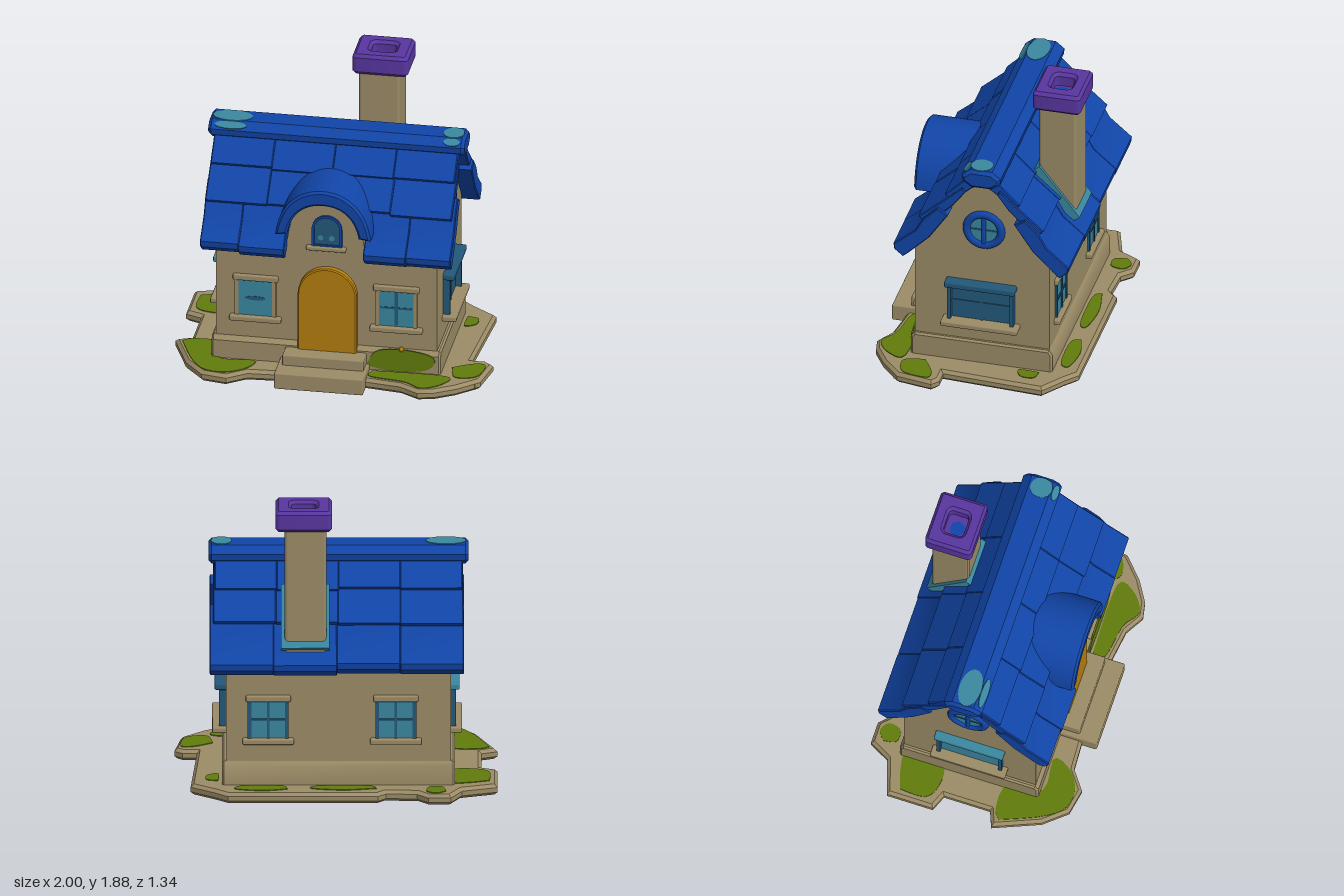
import * as THREE from 'three';
import { toCreasedNormals } from 'three/addons/utils/BufferGeometryUtils.js';
import { RoundedBoxGeometry } from 'three/addons/geometries/RoundedBoxGeometry.js';

const mat = (name, color) => {
  const m = new THREE.MeshStandardMaterial({ color });
  m.name = name;
  return m;
};

export function createModel() {
  const stone = mat('tan stone', 0x9c8c67);
  const blue = mat('roof blue', 0x1145a8);
  const teal = mat('light teal', 0x3a88a0);
  const dark = mat('dark teal', 0x23587a);
  const purple = mat('purple', 0x5836a0);
  const orange = mat('orange door', 0xb47d0e);
  const green = mat('moss green', 0x617c0c);

  const house = new THREE.Group();
  house.name = 'cottage';
  const add = (name, geo, m, parent = house) => {
    const mesh = new THREE.Mesh(geo, m);
    mesh.name = name;
    parent.add(mesh);
    return mesh;
  };
  const box = (name, m, x0, x1, y0, y1, z0, z1, parent = house, r = 0.01) => {
    const s = [x1 - x0, y1 - y0, z1 - z0];
    const geo = Math.min(...s) > 0.025 ? new RoundedBoxGeometry(...s, 1, r) : new THREE.BoxGeometry(...s);
    return add(name, geo.translate((x0 + x1) / 2, (y0 + y1) / 2, (z0 + z1) / 2), m, parent);
  };
  const shapeOf = pts => new THREE.Shape(pts.map(p => new THREE.Vector2(...p)));
  const extrude = (shape, depth, bevel = 0, curveSegments = 12) => toCreasedNormals(new THREE.ExtrudeGeometry(shape, {
    depth: depth - 2 * bevel, bevelEnabled: bevel > 0, bevelSize: bevel, bevelThickness: bevel,
    bevelOffset: -bevel, bevelSegments: 1, curveSegments,
  }).translate(0, 0, bevel), 0.6);
  // Profile in (z, y), swept along x
  const alongX = (pts, x0, x1, bevel = 0) =>
    extrude(shapeOf(pts.map(([z, y]) => [-z, y])), x1 - x0, bevel).rotateY(Math.PI / 2).translate(x0, 0, 0);
  // Outline in (x, z), raised along y
  const raised = (shape, y0, y1, bevel = 0) =>
    extrude(shape, y1 - y0, bevel).rotateX(-Math.PI / 2).translate(0, y0, 0);
  const arch = (hw, y0, top) => {
    const s = new THREE.Shape();
    s.moveTo(-hw, y0);
    s.lineTo(hw, y0);
    s.lineTo(hw, top - hw);
    s.absarc(0, top - hw, hw, 0, Math.PI, false);
    return s;
  };

  // Ground slab
  const outline = [[-1, -.47], [-.78, -.54], [-.71, -.67], [-.57, -.67], [-.5, -.6], [-.31, -.59], [-.26, -.64],
    [.67, -.64], [.75, -.57], [.9, -.46], [.86, .18], [.95, .18], [1, .22], [.96, .45], [.83, .57], [.7, .65],
    [.6, .67], [.48, .6], [.26, .57], [-.3, .57], [-.48, .58], [-.6, .67], [-.76, .64], [-.88, .5], [-1, .21],
    [-.9, .17], [-.9, -.13], [-1, -.17]];
  add('groundSlab', raised(shapeOf(outline.map(([x, z]) => [x, -z])), 0, 0.07, 0.02), stone);

  // Moss patches on the slab
  const patches = [
    [[-.95, -.4], [-.82, -.44], [-.72, -.43], [-.72, -.2], [-.86, -.18], [-.95, -.24]],
    [[-.95, .24], [-.88, .2], [-.72, .22], [-.68, .44], [-.46, .44], [-.5, .56], [-.62, .63], [-.75, .61], [-.85, .48]],
    [[.76, .32], [.88, .25], [.96, .26], [.93, .42], [.8, .45]],
    [[.28, .45], [.74, .45], [.74, .56], [.62, .64], [.5, .57], [.28, .53]],
    [[-.68, -.6], [-.62, -.64], [-.56, -.6], [-.58, -.52], [-.66, -.52]],
    [[-.25, -.55], [-.05, -.58], [.15, -.55], [.1, -.5], [-.2, -.5]],
    [[.3, -.56], [.45, -.59], [.62, -.56], [.58, -.5], [.34, -.5]],
    [[.73, -.4], [.8, -.38], [.8, -.3], [.73, -.27]],
  ];
  for (const p of patches) {
    const curve = new THREE.SplineCurve([...p, p[0]].map(([x, z]) => new THREE.Vector2(x, -z)));
    add('mossPatch', raised(new THREE.Shape(curve.getPoints(30)), 0.068, 0.075), green);
  }
  box('edgeMoss', green, 0.84, 0.93, 0.012, 0.05, 0.47, 0.478).rotation.y = 0;

  // Plinth and gabled walls
  add('plinth', alongX([[.428, .05], [.428, .19], [.405, .22], [-.455, .22], [-.475, .19], [-.475, .05]], -.735, .705, .012), stone);
  const gable = [[.405, .06], [.405, .88], [.27, 1.02], [.12, 1.25], [.05, 1.37], [-.04, 1.42],
    [-.13, 1.37], [-.2, 1.25], [-.35, 1.02], [-.455, .88], [-.455, .06]];
  add('walls', alongX(gable, -.71, .68), stone);
  const wallMoss = new THREE.SplineCurve([[.24, .1], [.3, .2], [.45, .225], [.63, .2], [.67, .15], [.6, .09], [.4, .075], [.24, .1]]
    .map(p => new THREE.Vector2(...p)));
  add('plinthMoss', extrude(new THREE.Shape(wallMoss.getPoints(30)), .008).translate(0, 0, .428), green);
  add('flower', new THREE.SphereGeometry(.016, 8, 6).translate(.46, .225, .43), orange);

  // Front steps
  box('lowerStep', stone, -.3, .26, 0, .11, .35, .665);
  box('upperStep', stone, -.27, .24, .08, .18, .35, .545);

  // Arched door with raised frame
  const frame = arch(.185, .17, .745);
  frame.holes.push(arch(.145, .171, .7));
  const door = new THREE.Group();
  door.name = 'door';
  door.position.set(-.005, 0, .395);
  house.add(door);
  add('doorFrame', extrude(frame, .052, .008), orange, door);
  add('doorPanel', extrude(arch(.16, .17, .72), .035), orange, door);

  // Roof: three overlapping courses per slope, made of uneven tiles
  const mid = -.04;
  const courses = [
    [[0, 1.4], [.06, 1.47], [.24, 1.29], [.2, 1.24], [.07, 1.36]],
    [[.12, 1.37], [.22, 1.28], [.4, 1.12], [.35, 1.07], [.18, 1.23], [.1, 1.34]],
    [[.28, 1.2], [.37, 1.11], [.42, 1.02], [.56, .9], [.555, .86], [.5, .815], [.46, .85], [.33, .98], [.21, 1.16]],
  ];
  const ends = [[-.78, .75], [-.785, .76], [-.79, .78]];
  for (const side of [1, -1]) {
    courses.forEach((profile, row) => {
      const [a, b] = ends[row];
      const spans = row === 2 && side === 1
        ? [[a, -.55], [-.55, -.265], [.235, .5], [.5, b]]
        : [0, 1, 2, 3].map(i => [a + (b - a) * i / 4, a + (b - a) * (i + 1) / 4]);
      spans.forEach(([x0, x1], i) => {
        const sag = ((i * 3 + row * 2 + (side > 0 ? 0 : 1)) % 4) * .004 - .006;
        const pts = profile.map(([d, y]) => [mid + side * (d + sag * .6), y - sag]);
        add('roofTile', alongX(pts, x0 - .002, x1 + .002, .006), blue);
      });
    });
  }

  // Ridge roll with worn ends
  const ridge = [[.06, 1.39], [.12, 1.43], [.125, 1.47], [.07, 1.515], [-.07, 1.515], [-.125, 1.47], [-.12, 1.43], [-.06, 1.36 + .03]];
  add('ridge', alongX(ridge.map(([d, y]) => [mid + d, y]), -.82, .79, .02), blue);
  for (const [x, r] of [[-.68, .125], [.71, .065]]) {
    const worn = new THREE.Shape();
    worn.absellipse(x, -mid - .01, r, .07, 0, Math.PI * 2);
    add('wornRidgeTop', raised(worn, 1.512, 1.519), teal);
    const slope = new THREE.Shape();
    slope.absellipse(0, 0, r * .8, .026, 0, Math.PI * 2);
    const m = add('wornRidgeSlope', extrude(slope, .007), teal);
    m.position.set(x, 1.493, mid + .0985);
    m.rotation.x = -.885;
  }

  // Dormer wall and curved hood
  const dormer = new THREE.Group();
  dormer.name = 'dormer';
  dormer.position.x = -.02;
  house.add(dormer);
  const face = new THREE.Shape();
  face.moveTo(-.26, .8);
  face.lineTo(.26, .8);
  face.bezierCurveTo(.22, 1.0, .23, 1.23, 0, 1.23);
  face.bezierCurveTo(-.23, 1.23, -.22, 1.0, -.26, .8);
  add('dormerWall', extrude(face, .3).translate(0, 0, .11), stone, dormer);
  const hood = new THREE.Shape();
  hood.moveTo(.3, .99);
  hood.bezierCurveTo(.28, 1.2, .15, 1.31, 0, 1.31);
  hood.bezierCurveTo(-.15, 1.31, -.28, 1.2, -.3, .99);
  hood.lineTo(-.225, 1.0);
  hood.bezierCurveTo(-.2, 1.14, -.12, 1.21, 0, 1.21);
  hood.bezierCurveTo(.12, 1.21, .2, 1.14, .225, 1.0);
  add('dormerHood', extrude(hood, .52, .015).translate(0, 0, 0), blue, dormer);
  const dFrame = arch(.095, .89, 1.1);
  dFrame.holes.push(arch(.08, .9, 1.085));
  add('dormerWindowFrame', extrude(dFrame, .02).translate(.01, 0, .405), blue, dormer);
  add('dormerGlass', extrude(arch(.09, .89, 1.095), .008).translate(.01, 0, .407), dark, dormer);
  for (const x of [-.03, .04]) {
    add('dormerGlint', new THREE.CircleGeometry(.018, 12).translate(x, .945, .417), teal, dormer);
  }
  box('dormerSill', stone, -.12, .13, .86, .89, .4, .44, dormer);

  // Rectangular windows, built facing +z with the wall at z = 0
  const makeWindow = (name, x, z, turn, w, o) => {
    const g = new THREE.Group();
    g.name = name;
    g.position.set(x, 0, z);
    g.rotation.y = turn;
    house.add(g);
    const h = w / 2, d = o.depth;
    box('glass', o.glass, -h, h, .37, .63, -.01, .007, g);
    for (const s of [-1, 1]) box('jamb', o.frame, s * h - .012, s * h + .012, .37, .63, -.01, d * .6, g);
    if (o.bars) {
      box('mullion', o.bars, -.008, .008, .37, .62, 0, .014, g);
      box('crossbar', o.bars, -h, h, .485, .5, 0, .014, g);
    }
    box('lintel', o.lintel, -h - .025, h + .025, .61, .65, -.01, d, g);
    box('sill', stone, -h - .045, h + .045, .335, .372, -.01, d + .015, g);
    return g;
  };
  const plain = { glass: teal, frame: stone, lintel: stone, bars: null, depth: .022 };
  const leftFront = makeWindow('frontWindow', -.46, .405, 0, .235, plain);
  const mark = new THREE.Shape();
  mark.absellipse(0, .49, .065, .014, 0, Math.PI * 2);
  add('glassMark', extrude(mark, .003).translate(0, 0, .006), dark, leftFront);
  const rightFront = makeWindow('frontWindow', .425, .405, 0, .24, plain);
  box('glassMark', dark, -.012, .012, .38, .62, .005, .01, rightFront);
  box('glassMark', dark, -.1, .1, .49, .503, .005, .01, rightFront);
  for (const x of [-.37, .42]) {
    makeWindow('backWindow', x, -.455, Math.PI, .23, { ...plain, bars: dark, frame: dark });
  }
  makeWindow('sideWindow', .68, -.02, Math.PI / 2, .4, { glass: dark, frame: dark, lintel: dark, bars: dark, depth: .072 });
  makeWindow('sideWindow', -.71, -.02, -Math.PI / 2, .4, { glass: teal, frame: dark, lintel: teal, bars: null, depth: .055 });

  // Round gable windows
  for (const [x, turn] of [[.68, Math.PI / 2], [-.71, -Math.PI / 2]]) {
    const g = new THREE.Group();
    g.name = 'roundWindow';
    g.position.set(x, 1.03, -.035);
    g.rotation.y = turn;
    house.add(g);
    add('roundFrame', new THREE.TorusGeometry(.11, .026, 8, 28), blue, g);
    add('roundGlass', new THREE.CircleGeometry(.11, 28).translate(0, 0, .006), teal, g);
    box('roundMullion', blue, -.013, .013, -.1, .1, -.005, .022, g);
    box('roundCrossbar', dark, -.1, .1, -.006, .006, 0, .01, g);
  }

  // Chimney with hollow cap and flashing at the roof
  box('chimney', stone, .06, .32, .92, 1.77, -.53, -.29, house, .02);
  const flashing = add('flashing', new THREE.BoxGeometry(.3, .06, .42), teal);
  flashing.position.set(.19, 1.14, -.405);
  flashing.rotation.x = -.91;
  const square = (h, r, S) => {
    const s = new S(), k = h - r;
    [[k, k, 0], [-k, k, 1], [-k, -k, 2], [k, -k, 3]].forEach(([x, y, q]) =>
      s.absarc(x, y, r, q * Math.PI / 2, (q + 1) * Math.PI / 2, false));
    return s;
  };
  const cap = square(.175, .03, THREE.Shape);
  cap.holes.push(square(.075, .03, THREE.Path));
  add('chimneyCap', raised(cap, 1.75, 1.885, .02).scale(1, 1, .87).translate(.2, 0, -.415), purple);
  box('flueFloor', purple, .1, .3, 1.765, 1.8, -.5, -.33);
  add('flueOpening', new THREE.CircleGeometry(.05, 7).rotateX(-Math.PI / 2).translate(.19, 1.803, -.405), blue);

  return house;
}
